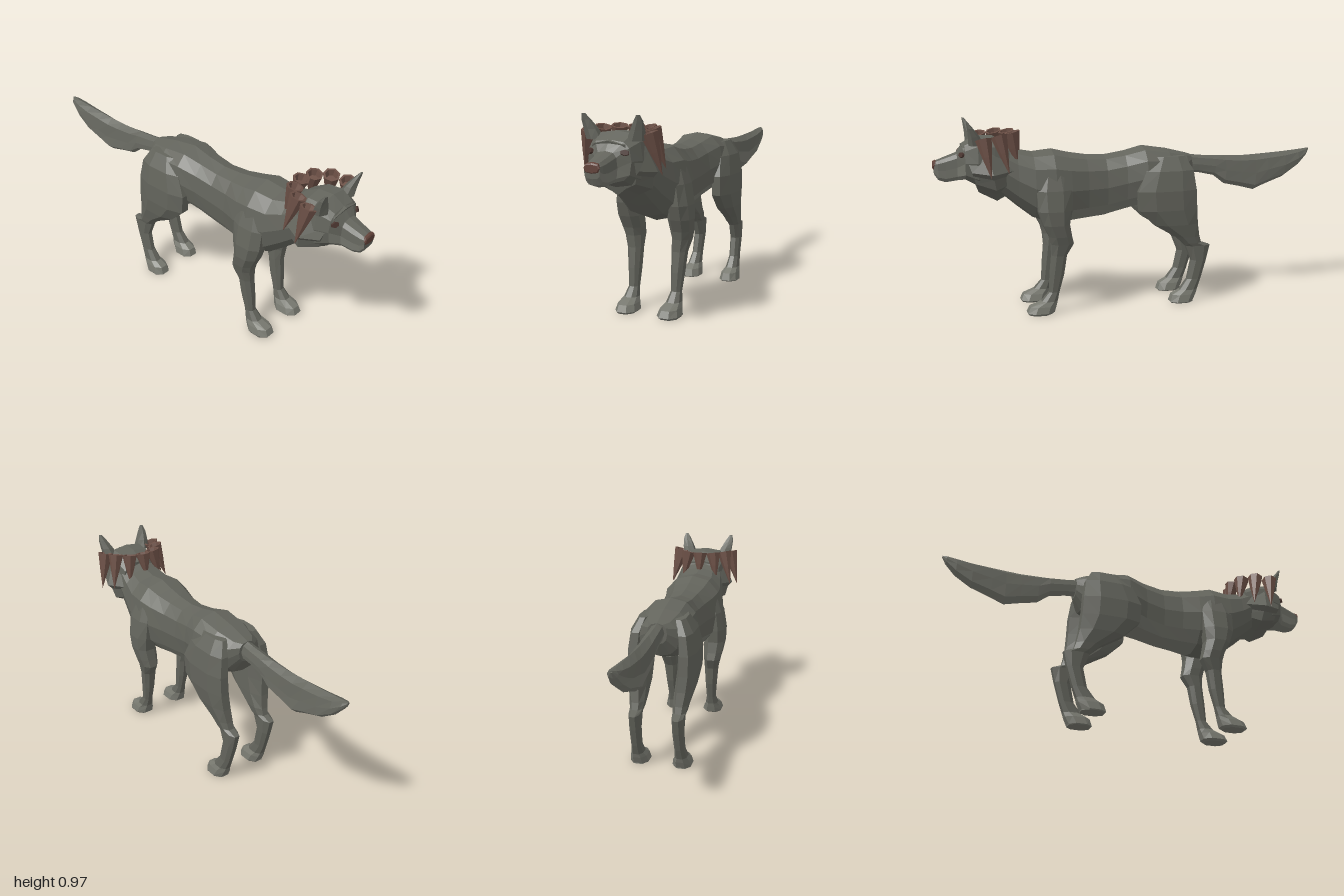
import * as THREE from 'three';

const mat = (name, color) => {
  const m = new THREE.MeshStandardMaterial({ color, flatShading: true });
  m.name = name;
  return m;
};

// Skin a list of equal-length rings, close both ends, face outwards.
// isPale(ring, side) puts a face in the second material group.
function loft(rings, isPale = () => false) {
  const lists = [[], []], n = rings[0].length, end = rings.length - 1;
  const mid = r => [0, 1, 2].map(k => r.reduce((s, p) => s + p[k], 0) / n);
  const tri = (i, j, ...corners) => lists[isPale(i, j) ? 1 : 0].push(...corners);
  const c0 = mid(rings[0]), c1 = mid(rings[end]);
  for (let j = 0; j < n; j++) {
    const k = (j + 1) % n;
    for (let i = 0; i < end; i++) {
      const A = rings[i], B = rings[i + 1];
      tri(i, j, A[j], A[k], B[k]);
      tri(i, j, A[j], B[k], B[j]);
    }
    tri(-1, j, rings[0][k], rings[0][j], c0);
    tri(end, j, rings[end][j], rings[end][k], c1);
  }
  // Signed volume tells whether the winding must be reversed
  let vol = 0;
  const a = new THREE.Vector3(), b = new THREE.Vector3(), c = new THREE.Vector3();
  const all = lists.flat();
  for (let i = 0; i < all.length; i += 3)
    vol += a.fromArray(all[i]).dot(b.fromArray(all[i + 1]).cross(c.fromArray(all[i + 2])));
  if (vol < 0) lists.forEach(l => l.reverse());
  const g = new THREE.BufferGeometry();
  g.setAttribute('position', new THREE.Float32BufferAttribute(lists.flat(2), 3));
  g.addGroup(0, lists[0].length, 0);
  g.addGroup(lists[0].length, lists[1].length, 1);
  g.computeVertexNormals();
  return g;
}

// Unit outline; a lower power is boxier
function outline(n, power, turn = Math.PI / 2) {
  const f = v => Math.sign(v) * Math.pow(Math.abs(v), power);
  return Array.from({ length: n }, (_, i) => {
    const t = turn + (i / n) * Math.PI * 2;
    return [f(Math.cos(t)), f(Math.sin(t))];
  });
}

// Upright sections along z: [z, top, bottom, half width]
const alongZ = (rows, n, power, isPale) => loft(rows.map(([z, t, b, w]) =>
  outline(n, power).map(([u, v]) => [u * w, (t + b) / 2 + v * (t - b) / 2, z])), isPale);

// Level sections along y: [y, front z, back z, inner x, outer x]
const alongY = (rows, n, power, side, isPale) => loft(rows.map(([y, f, b, i, o]) =>
  outline(n, power, Math.PI / n).map(([u, v]) =>
    [side * ((i + o) / 2 + u * (o - i) / 2), y, (f + b) / 2 + v * (f - b) / 2])), isPale);

const BODY = [
  [-0.315, 0.765, 0.66, 0.05], [-0.28, 0.775, 0.59, 0.1], [-0.18, 0.8, 0.55, 0.14],
  [-0.05, 0.82, 0.515, 0.145], [0.05, 0.795, 0.49, 0.118], [0.15, 0.78, 0.465, 0.11],
  [0.25, 0.785, 0.455, 0.122], [0.34, 0.8, 0.445, 0.148], [0.42, 0.82, 0.44, 0.165],
  [0.52, 0.81, 0.475, 0.155], [0.6, 0.825, 0.54, 0.135], [0.68, 0.86, 0.61, 0.12],
  [0.74, 0.88, 0.66, 0.11]];

const HEAD = [
  [0.64, 0.855, 0.64, 0.11], [0.71, 0.895, 0.64, 0.122], [0.79, 0.9, 0.65, 0.128],
  [0.85, 0.865, 0.685, 0.106], [0.885, 0.82, 0.68, 0.058], [0.94, 0.8, 0.673, 0.049],
  [0.975, 0.787, 0.685, 0.044], [0.994, 0.778, 0.715, 0.038]];

const TAIL = [
  [-0.27, 0.77, 0.67, 0.035], [-0.36, 0.757, 0.665, 0.038], [-0.45, 0.75, 0.645, 0.041],
  [-0.51, 0.748, 0.598, 0.043], [-0.6, 0.745, 0.578, 0.045], [-0.68, 0.748, 0.557, 0.047],
  [-0.75, 0.752, 0.585, 0.048], [-0.85, 0.758, 0.62, 0.047], [-0.93, 0.765, 0.675, 0.04],
  [-0.98, 0.77, 0.73, 0.025], [-1, 0.772, 0.762, 0.006]];

const FRONT_LEG = [
  [0.73, 0.49, 0.37, 0.1, 0.14], [0.63, 0.525, 0.34, 0.09, 0.175],
  [0.53, 0.52, 0.345, 0.08, 0.193], [0.46, 0.495, 0.355, 0.073, 0.193],
  [0.4, 0.465, 0.345, 0.075, 0.183], [0.36, 0.455, 0.335, 0.08, 0.172],
  [0.3, 0.45, 0.37, 0.08, 0.157], [0.2, 0.46, 0.385, 0.084, 0.147],
  [0.11, 0.465, 0.41, 0.088, 0.139], [0.065, 0.505, 0.42, 0.078, 0.15],
  [0.042, 0.565, 0.425, 0.066, 0.16], [0.01, 0.58, 0.435, 0.055, 0.168],
  [0, 0.57, 0.45, 0.067, 0.162]];

const HIND_LEG = [
  [0.77, -0.09, -0.26, 0.06, 0.12], [0.7, -0.03, -0.3, 0.075, 0.16],
  [0.6, 0.015, -0.315, 0.08, 0.178], [0.5, 0.005, -0.32, 0.075, 0.178],
  [0.42, -0.08, -0.325, 0.07, 0.168], [0.35, -0.2, -0.335, 0.07, 0.152],
  [0.315, -0.24, -0.345, 0.075, 0.145], [0.298, -0.255, -0.395, 0.08, 0.14],
  [0.22, -0.288, -0.375, 0.082, 0.138], [0.12, -0.267, -0.345, 0.086, 0.138],
  [0.065, -0.225, -0.325, 0.08, 0.147], [0.042, -0.182, -0.318, 0.068, 0.156],
  [0.005, -0.17, -0.3, 0.06, 0.163], [0, -0.175, -0.3, 0.065, 0.16]];

// Cheek fur: half outline in x, y; mirrored to a full ring
function ruffGeometry() {
  const half = [[0.1, 0.87], [0.128, 0.81], [0.167, 0.72], [0.143, 0.695], [0.13, 0.642], [0.06, 0.61]];
  const full = [[0, 0.89], ...half, [0, 0.567], ...half.map(([x, y]) => [-x, y]).reverse()];
  const ring = (s, z, lean) => full.map(([x, y]) => [x * s, 0.77 + (y - 0.77) * s, z + lean * (y - 0.77)]);
  return loft([ring(0.7, 0.62, 0.2), ring(1, 0.735, 0.2), ring(0.76, 0.835, 0.25)]);
}

// Ear sections: [x, y, z, half width, half depth]
const EAR = [
  [0.1, 0.86, 0.795, 0.042, 0.038], [0.114, 0.905, 0.808, 0.034, 0.027],
  [0.127, 0.945, 0.825, 0.023, 0.014], [0.133, 0.972, 0.838, 0.009, 0.005]];
const earGeometry = side => loft(EAR.map(([x, y, z, w, d]) =>
  outline(6, 1).map(([u, v]) => [side * (x + u * w), y, z + v * d])));

// Hollow-topped hanging spike
function spikeGeometry(length) {
  const pts = [[0, -length], [0.024, -length * 0.45], [0.041, 0], [0.031, 0], [0.022, -0.03], [0, -0.03]];
  const g = new THREE.LatheGeometry(pts.map(p => new THREE.Vector2(...p)), 7).toNonIndexed();
  g.computeVertexNormals();
  return g;
}

export function createModel() {
  const fur = mat('grey fur', 0x63645c);
  const pale = mat('pale grey fur', 0x77786f);
  const horn = mat('brown spikes', 0x6c5046);
  const noseMat = mat('brown nose', 0x614239);
  const eyeMat = mat('dark brown eyes', 0x4a352f);
  const coat = [fur, pale];

  const wolf = new THREE.Group();
  wolf.name = 'wolf';
  const add = (name, geometry, material) => {
    const m = new THREE.Mesh(geometry, material);
    m.name = name;
    wolf.add(m);
    return m;
  };

  // Pale belly, lower muzzle and underside of the tail
  add('body', alongZ(BODY, 12, 0.85, (i, j) => i >= 3 && i <= 6 && j >= 4 && j <= 7), coat);
  add('head', alongZ(HEAD, 12, 0.65, (i, j) => i >= 3 && i <= 6 && j >= 3 && j <= 8), coat);
  add('tail', alongZ(TAIL, 8, 1, (i, j) => j >= 2 && j <= 5), coat);
  add('ruff', ruffGeometry(), coat);
  add('nose', alongZ([[0.985, 0.786, 0.742, 0.036], [0.996, 0.782, 0.738, 0.039],
    [1, 0.776, 0.742, 0.034]], 8, 0.75), noseMat);

  for (const [side, label] of [[1, 'left'], [-1, 'right']]) {
    add(label + 'FrontLeg', alongY(FRONT_LEG, 8, 0.85, side, i => i >= 9), coat);
    add(label + 'HindLeg', alongY(HIND_LEG, 8, 0.85, side, i => i >= 10), coat);
    add(label + 'Ear', earGeometry(side), coat);
    // Thin slanted eye plate lying on the face
    const plate = new THREE.CylinderGeometry(0.014, 0.016, 0.009, 6);
    plate.scale(1.3, 1, 0.9).rotateY(side * 0.4);
    const eye = add(label + 'Eye', plate, eyeMat);
    eye.position.set(side * 0.084, 0.815, 0.867);
    eye.quaternion.setFromUnitVectors(new THREE.Vector3(0, 1, 0),
      new THREE.Vector3(side * 0.48, 0.3, 0.82).normalize());
  }

  // Collar of spikes around the back of the head: [x, y, z, length, outward, backward]
  const spikes = [[0, 0.908, 0.612, 0.14, 0, 0.25], [0.072, 0.907, 0.632, 0.16, 0.15, 0.22],
    [0.124, 0.904, 0.69, 0.19, 0.25, 0.22], [0.146, 0.893, 0.765, 0.195, 0.26, 0.15]];
  const down = new THREE.Vector3(0, -1, 0);
  spikes.forEach(([x, y, z, length, out, back], i) => {
    for (const side of i ? [1, -1] : [1]) {
      const s = add('collarSpike', spikeGeometry(length), horn);
      s.position.set(side * x, y, z);
      s.quaternion.setFromUnitVectors(down, new THREE.Vector3(side * out, -1, -back).normalize());
    }
  });
  return wolf;
}
